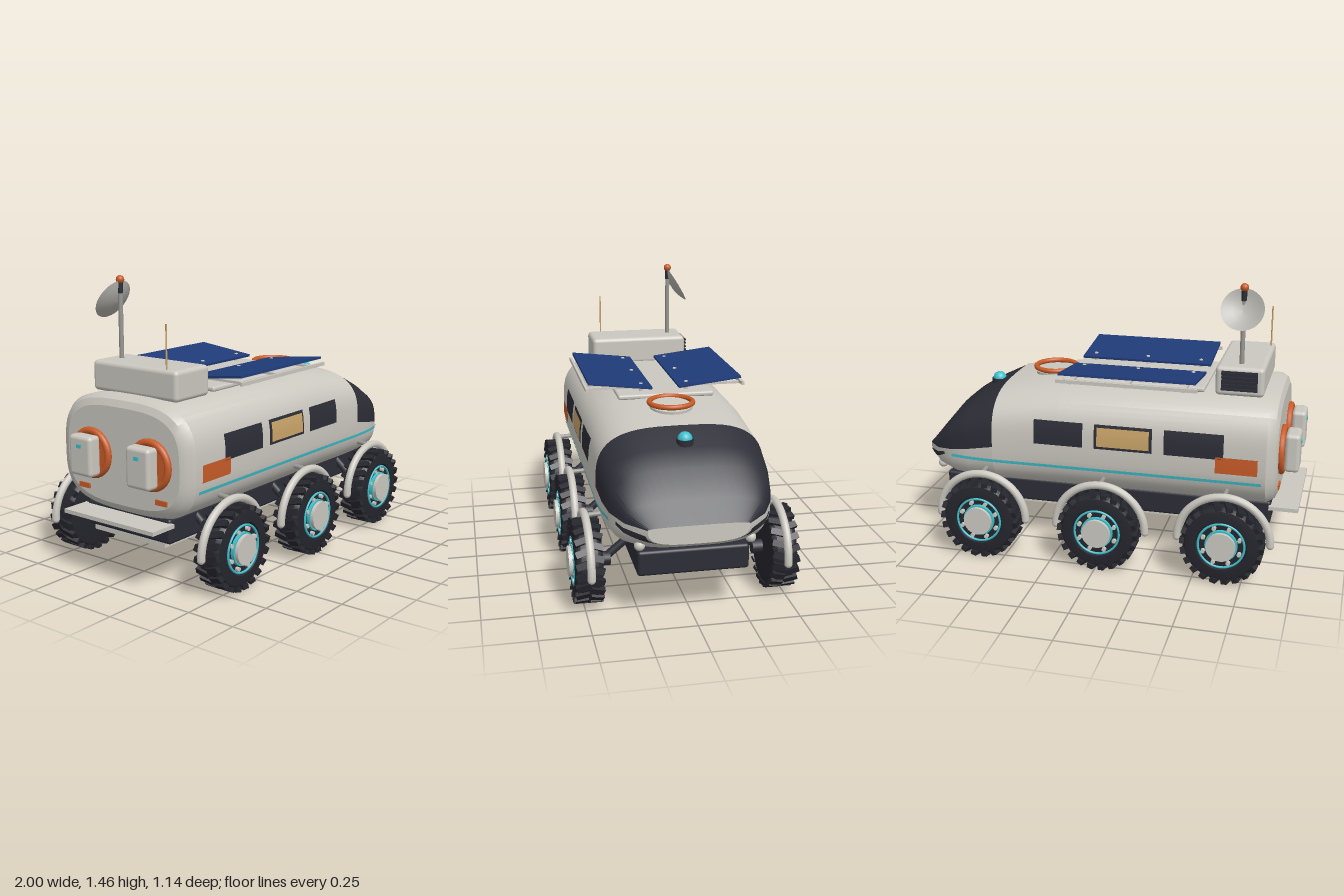
import * as THREE from 'three';
import { mergeGeometries, toCreasedNormals } from 'three/addons/utils/BufferGeometryUtils.js';
import { RoundedBoxGeometry } from 'three/addons/geometries/RoundedBoxGeometry.js';

const paint = (name, color) => Object.assign(new THREE.MeshStandardMaterial({ color }), { name });
const M = {
  shell: paint('warm grey shell', 0xcbc8c0), dark: paint('charcoal', 0x2c2d36),
  tyre: paint('tyre black', 0x25252d), blue: paint('solar blue', 0x1f3b78),
  orange: paint('orange', 0xc95c28), cyan: paint('cyan', 0x3fc0cc),
  tan: paint('lit window tan', 0xc9a468), metal: paint('grey metal', 0x9a9894),
  dish: paint('dish grey', 0xb5b3ad),
};
M.dish.side = THREE.DoubleSide;

// Hull stations: x, top, waist, bottom, half width
const stations = [
  [-0.89, 0.86, 0.61, 0.38, 0.36], [-0.875, 0.893, 0.61, 0.35, 0.395], [-0.84, 0.91, 0.61, 0.33, 0.42],
  [0.23, 0.91, 0.6, 0.33, 0.42], [0.58, 0.86, 0.575, 0.33, 0.42], [0.72, 0.79, 0.548, 0.335, 0.41],
  [0.82, 0.73, 0.53, 0.345, 0.39], [0.92, 0.61, 0.512, 0.375, 0.335], [1.0, 0.51, 0.5, 0.42, 0.24],
];
const POW = 3.2, N = 56;

function hullPoint([x, top, mid, bot, w], j) {
  const a = (j / N) * Math.PI * 2, c = Math.cos(a), s = Math.sin(a);
  const sup = v => Math.sign(v) * Math.abs(v) ** (2 / POW);
  return [x, mid + sup(s) * (s > 0 ? top - mid : mid - bot), w * sup(c)];
}

// Skin of the hull between ring positions j0 and j1
function loft(rows, j0, j1) {
  const pos = [], idx = [], n = j1 - j0 + 1;
  rows.forEach((r, i) => {
    for (let j = j0; j <= j1; j++) pos.push(...hullPoint(r, j));
    if (i) for (let j = 0; j < n - 1; j++) {
      const a = (i - 1) * n + j, b = i * n + j;
      idx.push(a, b, b + 1, a, b + 1, a + 1);
    }
  });
  return surface(pos, idx);
}

function endCap(row, front) {
  const pos = [row[0], row[2], 0], idx = [];
  for (let j = 0; j <= N; j++) pos.push(...hullPoint(row, j));
  for (let j = 1; j <= N; j++) idx.push(0, ...(front ? [j + 1, j] : [j, j + 1]));
  return surface(pos, idx);
}

function surface(pos, idx, crease = 0.6) {
  const g = new THREE.BufferGeometry();
  g.setAttribute('position', new THREE.Float32BufferAttribute(pos, 3));
  g.setIndex(idx);
  return toCreasedNormals(g, crease);
}

// Half width of the hull at a point of its side
function sideZ(x, y) {
  let i = 1;
  while (i < stations.length - 1 && stations[i][0] < x) i++;
  const a = stations[i - 1], b = stations[i], t = (x - a[0]) / (b[0] - a[0]);
  const [, top, mid, bot, w] = a.map((v, k) => v + (b[k] - v) * t);
  const f = Math.min(1, Math.abs(y - mid) / (y > mid ? top - mid : mid - bot));
  return w * (1 - f ** POW) ** (1 / POW);
}

// Thin painted plate that follows the hull side; s = +1 or -1
function sidePlate(s, x0, x1, lo0, hi0, lo1 = lo0, hi1 = hi0, off = 0.004) {
  const pos = [], idx = [], nx = 20, ny = 4;
  for (let i = 0; i <= nx; i++) for (let j = 0; j <= ny; j++) {
    const u = i / nx, v = j / ny, x = x0 + (x1 - x0) * u;
    const lo = lo0 + (lo1 - lo0) * u, hi = hi0 + (hi1 - hi0) * u, y = lo + (hi - lo) * v;
    pos.push(x, y, s * (sideZ(x, y) + off));
    if (i && j) {
      const d = i * (ny + 1) + j, c = d - 1, b = d - ny - 1, a = b - 1;
      idx.push(...(s > 0 ? [a, c, d, a, d, b] : [a, d, c, a, b, d]));
    }
  }
  return surface(pos, idx);
}

function add(parent, name, geo, mat, x = 0, y = 0, z = 0) {
  const m = new THREE.Mesh(geo, mat);
  m.name = name;
  m.position.set(x, y, z);
  parent.add(m);
  return m;
}
const box = (w, h, d, r = 0) => r ? new RoundedBoxGeometry(w, h, d, 3, r) : new THREE.BoxGeometry(w, h, d);
const disc = (r, h, n = 32) => new THREE.CylinderGeometry(r, r, h, n);
const discZ = (r, h, n) => disc(r, h, n).rotateX(Math.PI / 2);
const discX = (r, h, n) => disc(r, h, n).rotateZ(Math.PI / 2);
function rod(parent, name, a, b, r, mat) {
  const p = new THREE.Vector3(...a), q = new THREE.Vector3(...b), d = q.clone().sub(p);
  const m = add(parent, name, disc(r, d.length(), 12), mat);
  m.position.copy(p).add(q).multiplyScalar(0.5);
  m.quaternion.setFromUnitVectors(new THREE.Vector3(0, 1, 0), d.normalize());
}

// Wheel with its outer face toward +z
function makeWheel() {
  const g = new THREE.Group();
  g.name = 'wheel';
  const profile = [[0, -0.068], [0.15, -0.068], [0.182, -0.062], [0.197, -0.04], [0.197, 0.04],
    [0.182, 0.062], [0.15, 0.068], [0.13, 0.068], [0.125, 0.052], [0, 0.052]];
  const tyre = new THREE.LatheGeometry(profile.map(p => new THREE.Vector2(...p)), 40).rotateX(Math.PI / 2);
  add(g, 'tyre', toCreasedNormals(tyre, 0.6), M.tyre);
  const blocks = [];
  for (let i = 0; i < 44; i++) {
    const side = i % 2 ? 1 : -1;
    blocks.push(box(0.032, 0.024, 0.068).rotateY(side * 0.3).translate(0, 0.197, side * 0.034)
      .rotateZ((i / 44) * Math.PI * 2));
  }
  add(g, 'tread', mergeGeometries(blocks), M.tyre);
  add(g, 'rimRing', new THREE.TorusGeometry(0.116, 0.006, 8, 40), M.cyan, 0, 0, 0.064);
  add(g, 'hubRing', discZ(0.082, 0.02), M.cyan, 0, 0, 0.06);
  add(g, 'hub', discZ(0.074, 0.036), M.shell, 0, 0, 0.07);
  const bolts = [];
  for (let i = 0; i < 8; i++) bolts.push(discZ(0.011, 0.02, 10).translate(0.098, 0, 0.06).rotateZ((i + 0.5) * Math.PI / 4));
  add(g, 'bolts', mergeGeometries(bolts), M.shell);
  return g;
}

export function createModel() {
  const root = new THREE.Group();
  root.name = 'rover';

  // Hull, windscreen and end faces
  add(root, 'hull', loft(stations.slice(0, 5), 0, N), M.shell);
  add(root, 'noseUnderside', loft(stations.slice(4), N / 2, N), M.shell);
  add(root, 'windscreen', loft(stations.slice(4), 0, N / 2), M.dark);
  add(root, 'rearWall', endCap(stations[0], false), M.shell);
  add(root, 'noseTip', endCap(stations[8], true), M.shell);

  // Chassis
  add(root, 'chassis', box(1.76, 0.125, 0.54, 0.015), M.dark, 0.02, 0.29, 0);
  add(root, 'bellyPlate', box(1.64, 0.025, 0.46), M.shell, -0.03, 0.216, 0);
  add(root, 'rearStep', box(0.15, 0.02, 0.58), M.shell, -0.925, 0.325, 0);

  for (const s of [1, -1]) {
    // Painted side details
    add(root, 'rearWindow', sidePlate(s, -0.63, -0.33, 0.618, 0.745), M.dark);
    add(root, 'middleWindowFrame', sidePlate(s, -0.27, 0.03, 0.618, 0.745), M.dark);
    add(root, 'middleWindow', sidePlate(s, -0.255, 0.015, 0.632, 0.731, 0.632, 0.731, 0.008), M.tan);
    add(root, 'frontWindow', sidePlate(s, 0.09, 0.35, 0.618, 0.745), M.dark);
    add(root, 'orangePanel', sidePlate(s, -0.8, -0.59, 0.545, 0.63), M.orange);
    add(root, 'stripe', sidePlate(s, -0.82, 0.82, 0.491, 0.507), M.cyan);
    add(root, 'lampRecess', sidePlate(s, 0.87, 0.995, 0.49, 0.505, 0.43, 0.472, 0.006), M.dark);
    add(root, 'headlight', new THREE.SphereGeometry(0.026, 16, 12), M.shell, 0.925, 0.4, s * 0.265);

    // Wheels, fenders and suspension
    for (const x of [-0.65, -0.015, 0.62]) {
      const wheel = makeWheel();
      wheel.position.set(x, 0.212, s * 0.48);
      if (s < 0) wheel.rotation.y = Math.PI;
      root.add(wheel);
      add(root, 'fender', new THREE.TorusGeometry(0.235, 0.02, 12, 32, Math.PI), M.shell, x, 0.21, s * 0.48);
      for (const e of [-1, 1]) add(root, 'fenderEnd', new THREE.SphereGeometry(0.02, 12, 8), M.shell, x + e * 0.235, 0.21, s * 0.48);
      rod(root, 'suspensionArm', [x, 0.33, s * 0.25], [x, 0.205, s * 0.4], 0.02, M.dark);
      rod(root, 'axle', [x, 0.212, s * 0.36], [x, 0.212, s * 0.42], 0.035, M.dark);
      rod(root, 'fenderBracket', [x, 0.45, s * 0.4], [x, 0.445, s * 0.48], 0.012, M.metal);
    }

    // Tilted solar panel, its rail and posts
    const panel = add(root, 'solarPanel', box(0.7, 0.012, 0.332), M.blue, -0.13, 0.972, s * 0.235);
    panel.rotation.x = -s * 0.115;
    add(root, 'panelRail', box(0.72, 0.018, 0.014), M.shell, -0.13, 0.958, s * 0.408);
    for (const x of [-0.42, -0.13, 0.16]) {
      rod(root, 'panelPost', [x, 0.9, s * 0.12], [x, 0.969, s * 0.12], 0.01, M.shell);
      add(root, 'panelBracket', box(0.02, 0.012, 0.28), M.shell, x, 0.95, s * 0.265);
    }

    // Rear hatches and lamps
    add(root, 'hatchRing', new THREE.TorusGeometry(0.11, 0.018, 12, 36).rotateY(Math.PI / 2), M.orange, -0.9, 0.615, s * 0.19);
    add(root, 'hatchDoor', discX(0.105, 0.03), M.orange, -0.892, 0.615, s * 0.19);
    add(root, 'hatchPack', box(0.075, 0.2, 0.145, 0.02), M.shell, -0.952, 0.615, s * 0.185);
    add(root, 'hatchLamp', box(0.006, 0.018, 0.03), M.cyan, -0.991, 0.665, s * 0.185);
    add(root, 'tailLamp', box(0.012, 0.025, 0.07), M.orange, -0.892, 0.44, s * 0.25);
  }

  // Roof plate, hatch ring and beacon
  add(root, 'roofPlate', box(0.74, 0.025, 0.5, 0.01), M.shell, -0.13, 0.915, 0);
  const hatch = add(root, 'roofHatch', disc(0.11, 0.02), M.shell, 0.35, 0.892, 0);
  hatch.rotation.z = -0.1;
  add(root, 'roofHatchRing', new THREE.TorusGeometry(0.11, 0.013, 10, 40).rotateX(Math.PI / 2), M.orange, 0.35, 0.914, 0);
  add(root, 'beaconBase', disc(0.042, 0.03, 24), M.dark, 0.68, 0.808, 0);
  add(root, 'beacon', new THREE.SphereGeometry(0.036, 24, 16), M.cyan, 0.68, 0.822, 0);

  // Equipment box with a slatted vent
  add(root, 'equipmentBox', box(0.245, 0.15, 0.54, 0.022), M.shell, -0.677, 0.975, 0);
  add(root, 'vent', box(0.18, 0.1, 0.008), M.dark, -0.677, 0.98, -0.272);
  for (let i = 0; i < 5; i++) add(root, 'ventSlat', box(0.18, 0.008, 0.016), M.dark, -0.677, 0.94 + i * 0.02, -0.278);

  // Mast, dish and whip antenna
  rod(root, 'mast', [-0.675, 1.04, -0.19], [-0.675, 1.38, -0.19], 0.012, M.metal);
  rod(root, 'mastTop', [-0.675, 1.37, -0.19], [-0.675, 1.43, -0.19], 0.014, M.dark);
  add(root, 'mastBall', new THREE.SphereGeometry(0.021, 20, 14), M.orange, -0.675, 1.436, -0.19);
  const bowl = [0, 0.25, 0.5, 0.75, 1].map(t => new THREE.Vector2(t * 0.108, t * t * 0.03));
  const dish = add(root, 'dish', new THREE.LatheGeometry(bowl, 32), M.dish, -0.675, 1.322, -0.215);
  dish.rotation.x = -1.04;
  rod(root, 'whipAntenna', [-0.78, 0.9, 0.195], [-0.78, 1.262, 0.195], 0.004, M.tan);
  return root;
}
